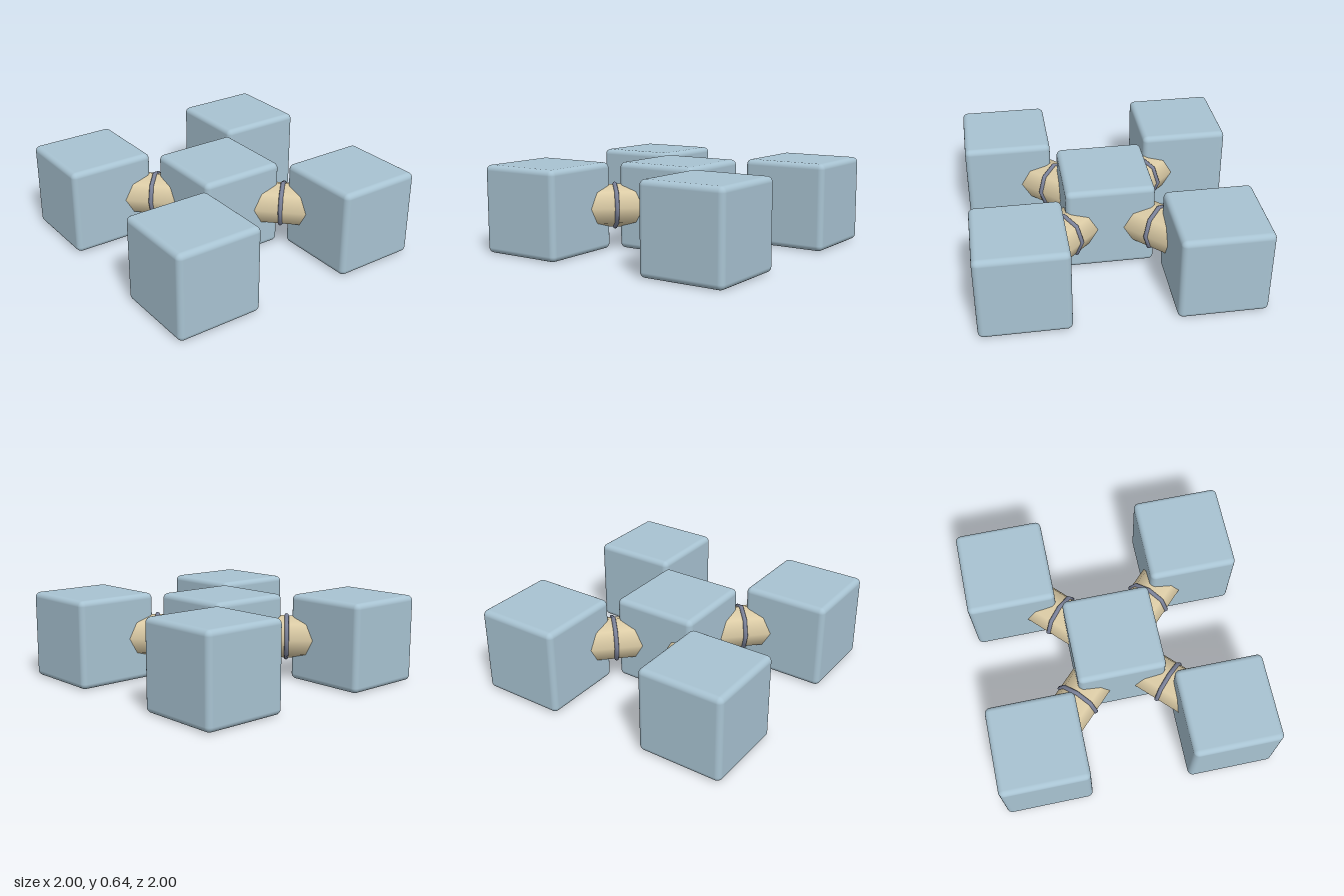
import * as THREE from 'three';
import { RoundedBoxGeometry } from 'three/addons/geometries/RoundedBoxGeometry.js';

const SIZE = 0.64;   // cube edge
const OFFSET = 0.68; // outer cube distance along x and z
const RADIUS = 0.16; // connector radius

export function createModel() {
  const model = new THREE.Group();
  model.name = 'linkedCubes';

  const paleBlue = new THREE.MeshStandardMaterial({ name: 'paleBlue', color: 0xa8c3d2 });
  const sand = new THREE.MeshStandardMaterial({ name: 'sand', color: 0xdccca6 });
  const slate = new THREE.MeshStandardMaterial({ name: 'slate', color: 0x7c839b });

  const cubeGeometry = new RoundedBoxGeometry(SIZE, SIZE, SIZE, 4, 0.04);
  // Eight-sided rod along z, long enough to end inside both cubes
  const rodGeometry = new THREE.CylinderGeometry(RADIUS, RADIUS, 0.6, 8).rotateX(Math.PI / 2);
  const ringGeometry = new THREE.TorusGeometry(RADIUS, 0.016, 8, 8);

  const add = (parent, name, geometry, material) => {
    const mesh = new THREE.Mesh(geometry, material);
    mesh.name = name;
    parent.add(mesh);
    return mesh;
  };

  // Central cube
  add(model, 'centreCube', cubeGeometry, paleBlue).position.y = SIZE / 2;

  // Four outer cubes, each joined to the centre by a ringed rod
  for (const [side, sx] of [['Left', 1], ['Right', -1]]) {
    for (const [end, sz] of [['front', 1], ['back', -1]]) {
      add(model, `${end}${side}Cube`, cubeGeometry, paleBlue)
        .position.set(sx * OFFSET, SIZE / 2, sz * OFFSET);

      const connector = new THREE.Group();
      connector.name = `${end}${side}Connector`;
      connector.position.set(sx * OFFSET / 2, SIZE / 2, sz * OFFSET / 2);
      connector.rotation.y = Math.atan2(sx, sz);
      add(connector, 'rod', rodGeometry, sand);
      add(connector, 'ring', ringGeometry, slate);
      model.add(connector);
    }
  }
  return model;
}
